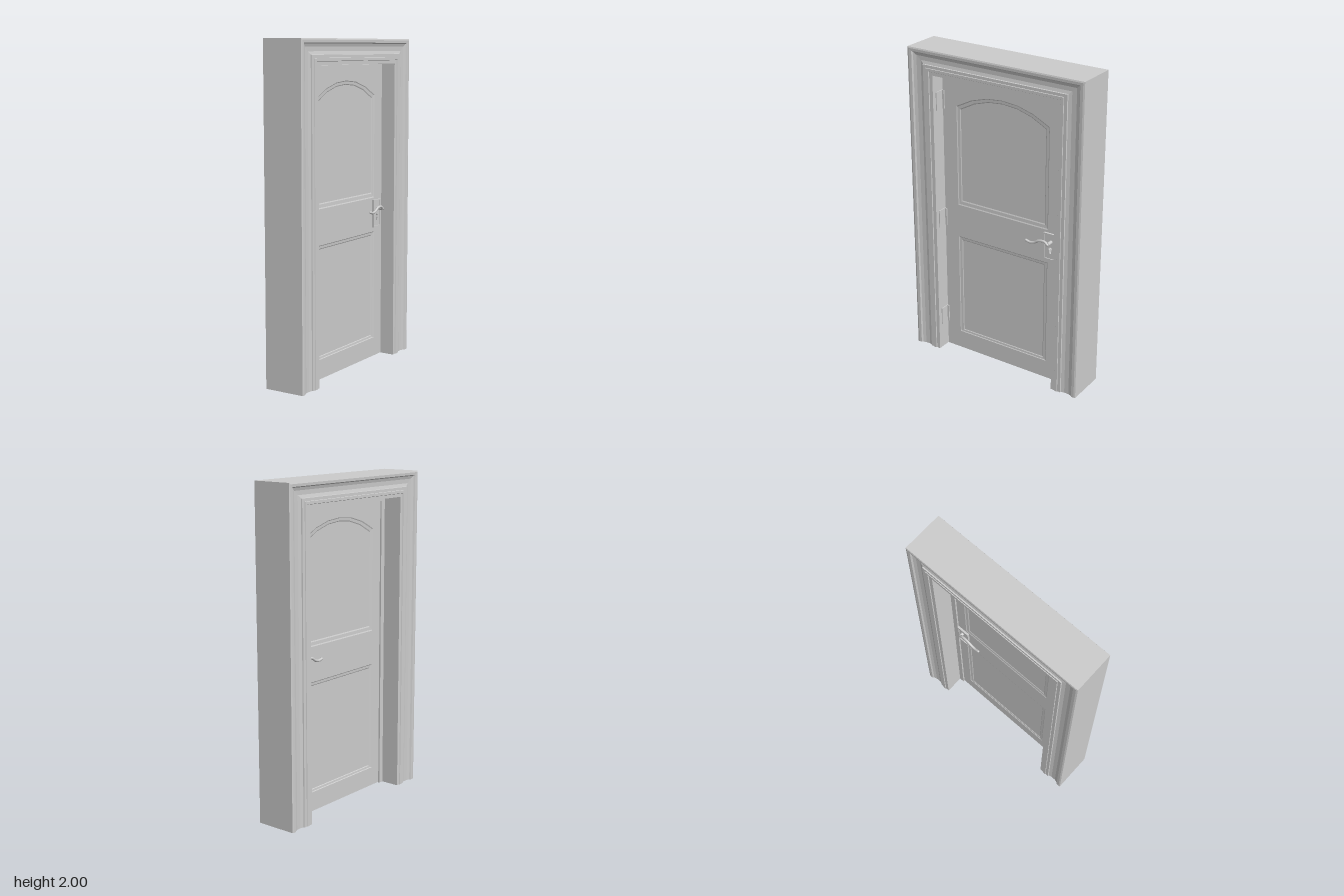
import * as THREE from 'three';

const material = new THREE.MeshStandardMaterial({ color: 0xcccccc });
const shellMaterial = new THREE.MeshStandardMaterial({ color: 0xcccccc, side: THREE.DoubleSide });
const HALF_W = 0.597, HEIGHT = 2, T = 0.016; // frame half width, frame height, half door thickness

function add(parent, name, geometry, x = 0, y = 0, z = 0) {
  const mesh = new THREE.Mesh(geometry, material);
  mesh.name = name;
  mesh.position.set(x, y, z);
  parent.add(mesh);
  return mesh;
}

function box(parent, name, x0, x1, y0, y1, z0, z1) {
  return add(parent, name, new THREE.BoxGeometry(x1 - x0, y1 - y0, z1 - z0),
    (x0 + x1) / 2, (y0 + y1) / 2, (z0 + z1) / 2);
}

const toShape = pts => new THREE.Shape(pts.map(([x, y]) => new THREE.Vector2(x, y)));
const rect = (x0, x1, y0, y1) => [[x0, y0], [x1, y0], [x1, y1], [x0, y1]];

function slab(shape, half) {
  const g = new THREE.ExtrudeGeometry(shape, { depth: half * 2, bevelEnabled: false, curveSegments: 10 });
  return g.translate(0, 0, -half);
}

// Faceted skin joining a series of closed loops
function loft(loops) {
  const v = [];
  for (let k = 0; k < loops.length - 1; k++) {
    for (let i = 0; i < loops[k].length; i++) {
      const j = (i + 1) % loops[k].length;
      const a = loops[k][i], b = loops[k][j], c = loops[k + 1][j], d = loops[k + 1][i];
      v.push(...a, ...b, ...c, ...a, ...c, ...d);
    }
  }
  const g = new THREE.BufferGeometry();
  g.setAttribute('position', new THREE.Float32BufferAttribute(v, 3));
  g.computeVertexNormals();
  return g;
}

// Frame: hollow moulded section (distance from the outer edge, x), mitred at the top, open below
function createFrame() {
  const frame = new THREE.Group();
  frame.name = 'doorFrame';
  const side = [[0, 0.127], [0.01, 0.13], [0.028, 0.129], [0.035, 0.121], [0.055, 0.115], [0.085, 0.114],
    [0.106, 0.119], [0.108, 0.126], [0.128, 0.126], [0.13, 0.13], [0.149, 0.13], [0.152, 0.125], [0.175, 0.125]];
  const section = [...side, ...side.map(([d, x]) => [d, -x]).reverse()];
  const stations = [[1, 0], [1, 1], [-1, 1], [-1, 0]]; // side of the door, bottom or top
  const loops = stations.map(([s, t]) =>
    section.map(([d, x]) => [x, t * (HEIGHT - 0.85 * d), s * (HALF_W - d)]));
  add(frame, 'casingAndJambs', loft(loops)).material = shellMaterial;

  // Stop strips behind the door leaf
  box(frame, 'hingeStop', -0.007, 0.003, 0, 1.852, 0.39, 0.422);
  box(frame, 'latchStop', -0.007, 0.003, 0, 1.852, -0.422, -0.39);
  box(frame, 'headStop', -0.007, 0.003, 1.822, 1.852, -0.39, 0.39);
  return frame;
}

// Panel outline with an optional faceted arch on top
function outline(w, y0, y1, rise) {
  const c = 0.005;
  const pts = [[c - w, y0], [c + w, y0], [c + w, y1]];
  if (rise) {
    for (let i = 1; i < 6; i++) {
      const u = 1 - i / 3;
      pts.push([c + w * u, y1 + rise * (1 - Math.abs(u) ** 2.1)]);
    }
  }
  pts.push([c - w, y1]);
  return pts;
}

// Sloped moulding between two outlines on face s; steps are (fraction inward, height)
function moulding(outer, inner, steps, s) {
  const loops = steps.map(([f, h]) => outer.map(([x, y], i) =>
    [x + (inner[i][0] - x) * f, y + (inner[i][1] - y) * f, s * h]));
  if (s < 0) loops.forEach(loop => loop.reverse());
  return loft(loops);
}

function keyhole() {
  const key = new THREE.Path();
  key.absarc(0.35, 0.905, 0.011, -0.25 * Math.PI, 1.25 * Math.PI, false);
  key.lineTo(0.343, 0.875);
  key.lineTo(0.357, 0.875);
  return key;
}

// Lock plate with keyhole, raised rim and curved lever standing out by reach, on face s
function createHandle(s, reach) {
  const handle = new THREE.Group();
  handle.name = s > 0 ? 'frontHandle' : 'backHandle';
  const plate = toShape(rect(0.311, 0.386, 0.839, 1.001));
  plate.holes.push(keyhole());
  add(handle, 'lockPlate', slab(plate, 0.004), 0, 0, s * (T + 0.003));

  const rim = toShape(rect(0.306, 0.391, 0.834, 1.006));
  rim.holes.push(new THREE.Path(toShape(rect(0.314, 0.383, 0.842, 0.998)).getPoints()));
  add(handle, 'plateRim', slab(rim, 0.007), 0, 0, s * (T + 0.006));

  const spindle = new THREE.CylinderGeometry(0.011, 0.011, reach, 12).rotateX(Math.PI / 2);
  add(handle, 'spindle', spindle, 0.355, 0.952, s * (T + reach / 2));
  const path = new THREE.CatmullRomCurve3([[0.355, 0.95], [0.335, 0.965], [0.295, 0.962],
    [0.265, 0.944], [0.235, 0.937], [0.208, 0.943]].map(([x, y]) => new THREE.Vector3(x, y, s * (T + reach))));
  add(handle, 'lever', new THREE.TubeGeometry(path, 24, 0.008, 8));
  for (const t of [0, 1]) {
    add(handle, 'leverEnd', new THREE.SphereGeometry(0.008, 10, 8), ...path.getPoint(t).toArray());
  }
  return handle;
}

// Door leaf: built facing +z, then turned to face +x
function createDoor() {
  const door = new THREE.Group();
  door.name = 'door';
  const panels = [
    ['upperPanel', outline(0.323, 1.02, 1.66, 0.095), outline(0.296, 1.053, 1.64, 0.09)],
    ['lowerPanel', outline(0.323, 0.122, 0.806, 0), outline(0.296, 0.142, 0.782, 0)],
  ];
  const leaf = toShape(rect(-0.417, 0.417, 0.003, 1.847));
  for (const [, outer] of panels) leaf.holes.push(new THREE.Path(toShape(outer).getPoints()));
  leaf.holes.push(keyhole());
  add(door, 'doorLeaf', slab(leaf, T));

  const steps = [[0, T], [0.2, T - 0.003], [0.8, T - 0.004], [1, T - 0.007]];
  for (const [name, outer, inner] of panels) {
    add(door, name, slab(toShape(inner), T - 0.007));
    for (const s of [1, -1]) add(door, name + 'Moulding', moulding(outer, inner, steps, s));
  }
  door.add(createHandle(1, 0.048), createHandle(-1, 0.028));

  // Hinges: one plate on the door edge, one lying along the jamb
  for (const y of [0.228, 0.918, 1.685]) {
    const hinge = new THREE.Group();
    hinge.name = 'hinge';
    box(hinge, 'doorPlate', -0.422, -0.404, y - 0.057, y + 0.057, T - 0.004, T + 0.007);
    box(hinge, 'jambPlate', -0.423, -0.416, y - 0.057, y + 0.057, T, T + 0.062);
    door.add(hinge);
  }
  door.rotation.y = Math.PI / 2;
  door.position.x = 0.02;
  return door;
}

export function createModel() {
  const model = new THREE.Group();
  model.name = 'framedDoor';
  model.add(createFrame(), createDoor());
  return model;
}
